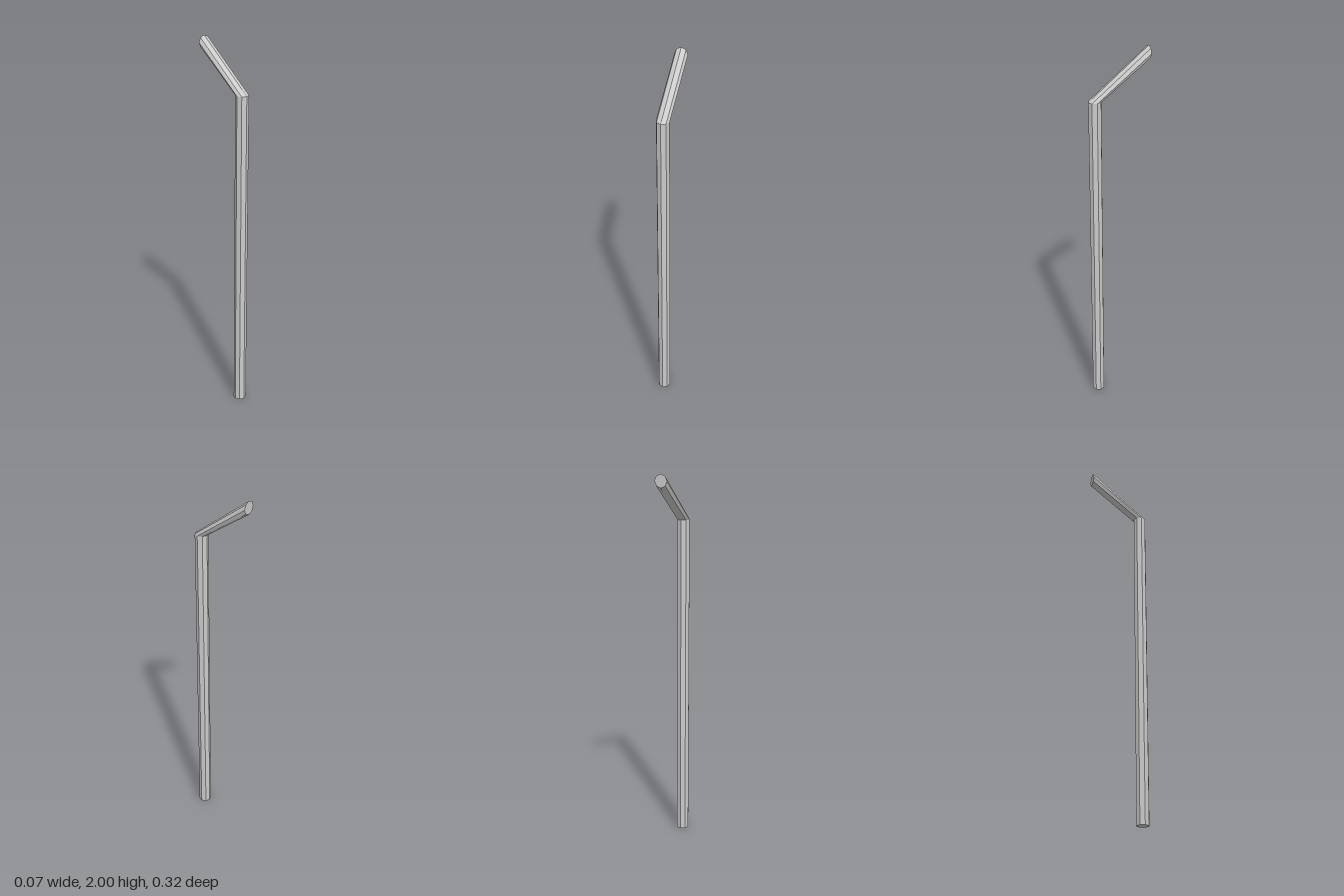
import * as THREE from 'three';

const RADIUS = 0.034;
const SIDES = 8;
const STEM_Z = 0.125; // centre line of the upright stem
const BEND_Y = 1.75; // height of the bend
const MOUTH_Z = -0.159; // plane of the vertical end face

export function createModel() {
  const model = new THREE.Group();
  model.name = 'bentStraw';

  // Three rings: the foot, the bend (both level) and the upright mouth ring
  const tube = new THREE.CylinderGeometry(RADIUS, RADIUS, 2, SIDES, 2);
  const pos = tube.attributes.position;
  for (let i = 0; i < pos.count; i++) {
    const x = pos.getX(i);
    const z = pos.getZ(i);
    const row = Math.round(pos.getY(i));
    if (row > 0) pos.setXYZ(i, x, 2 - RADIUS + z, MOUTH_Z);
    else pos.setXYZ(i, x, row < 0 ? 0 : BEND_Y, STEM_Z + z);
  }

  // Flat facets
  const geometry = tube.toNonIndexed();
  geometry.computeVertexNormals();
  const material = new THREE.MeshStandardMaterial({ color: 0xcccccc, flatShading: true });
  const straw = new THREE.Mesh(geometry, material);
  straw.name = 'strawTube';
  model.add(straw);
  return model;
}
